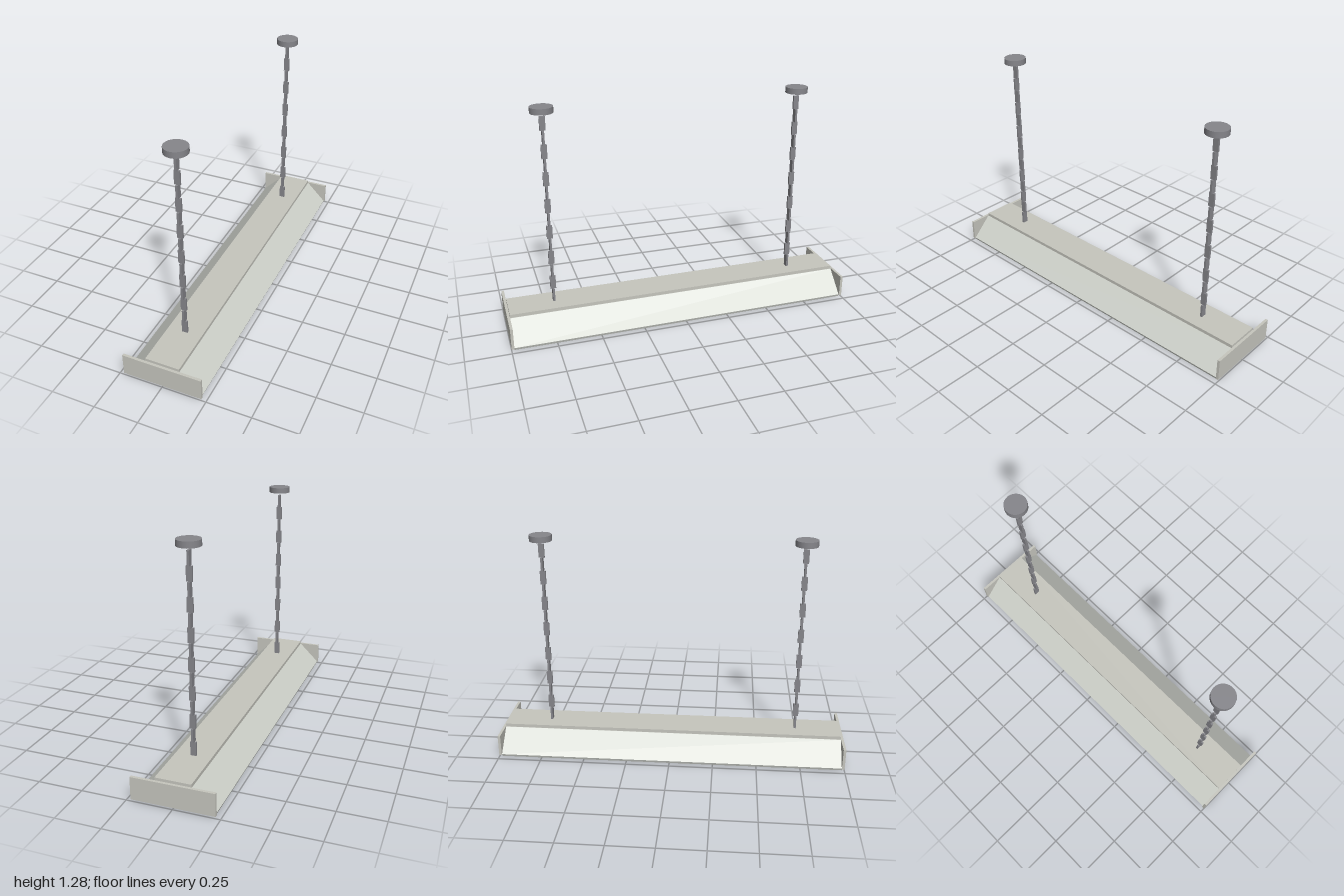
import * as THREE from 'three';

const housing = new THREE.MeshStandardMaterial({ color: 0xc6c6be });
housing.name = 'housing enamel';
const reflectorMat = new THREE.MeshStandardMaterial({ color: 0xced1ca });
reflectorMat.name = 'reflector enamel';
const lampMat = new THREE.MeshStandardMaterial({ color: 0xdcdcd6 });
lampMat.name = 'lamp glass';
const metal = new THREE.MeshStandardMaterial({ color: 0x86868b });
metal.name = 'grey metal';

function add(parent, name, geometry, material, x = 0, y = 0, z = 0) {
  const mesh = new THREE.Mesh(geometry, material);
  mesh.name = name;
  mesh.position.set(x, y, z);
  parent.add(mesh);
  return mesh;
}

// Chain of flat links, each turned a quarter from the last, with a ceiling cap
function makeHanger() {
  const hanger = new THREE.Group();
  const count = 14, bottom = 0.15, pitch = 0.077;
  const link = new THREE.BoxGeometry(0.032, pitch, 0.012);
  for (let i = 0; i < count; i++) {
    const mesh = add(hanger, 'chainLink', link, metal, 0, bottom + (i + 0.5) * pitch, 0);
    mesh.rotation.y = (i % 2) * Math.PI / 2;
  }
  add(hanger, 'ceilingCap', new THREE.CylinderGeometry(0.063, 0.063, 0.033, 24), metal, 0, 1.264, 0);
  return hanger;
}

export function createModel() {
  const model = new THREE.Group();
  model.name = 'hangingLampFixture';
  const length = 1.97;

  // Folded sheet reflector: flat crown, sloping wings, short lips
  const outer = [[0.215, 0], [0.22, 0.014], [0.1, 0.132]];
  const inner = [[0.098, 0.125], [0.21, 0.013], [0.208, 0]];
  const half = [...outer, ...outer.slice().reverse().map(([x, y]) => [-x, y])];
  const back = inner.slice().reverse().map(([x, y]) => [-x, y]);
  const profile = new THREE.Shape([...half, ...back, ...inner].map(([x, y]) => new THREE.Vector2(x, y)));
  const sheet = new THREE.ExtrudeGeometry(profile, { depth: length, bevelEnabled: false });
  add(model, 'reflector', sheet, reflectorMat, 0, 0, -length / 2);

  // Channel along the crown
  add(model, 'topChannel', new THREE.BoxGeometry(0.194, 0.022, length), housing, 0, 0.14, 0);

  for (const side of [-1, 1]) {
    add(model, 'endPlate', new THREE.BoxGeometry(0.45, 0.126, 0.015), housing, 0, 0.073, side * 0.9925);

    const lamp = new THREE.CylinderGeometry(0.017, 0.017, length, 16);
    add(model, 'lampTube', lamp, lampMat, side * 0.078, 0.045, 0).rotation.x = Math.PI / 2;

    const hanger = makeHanger();
    hanger.name = side > 0 ? 'frontHanger' : 'backHanger';
    hanger.position.z = side * 0.725;
    model.add(hanger);
  }
  return model;
}
